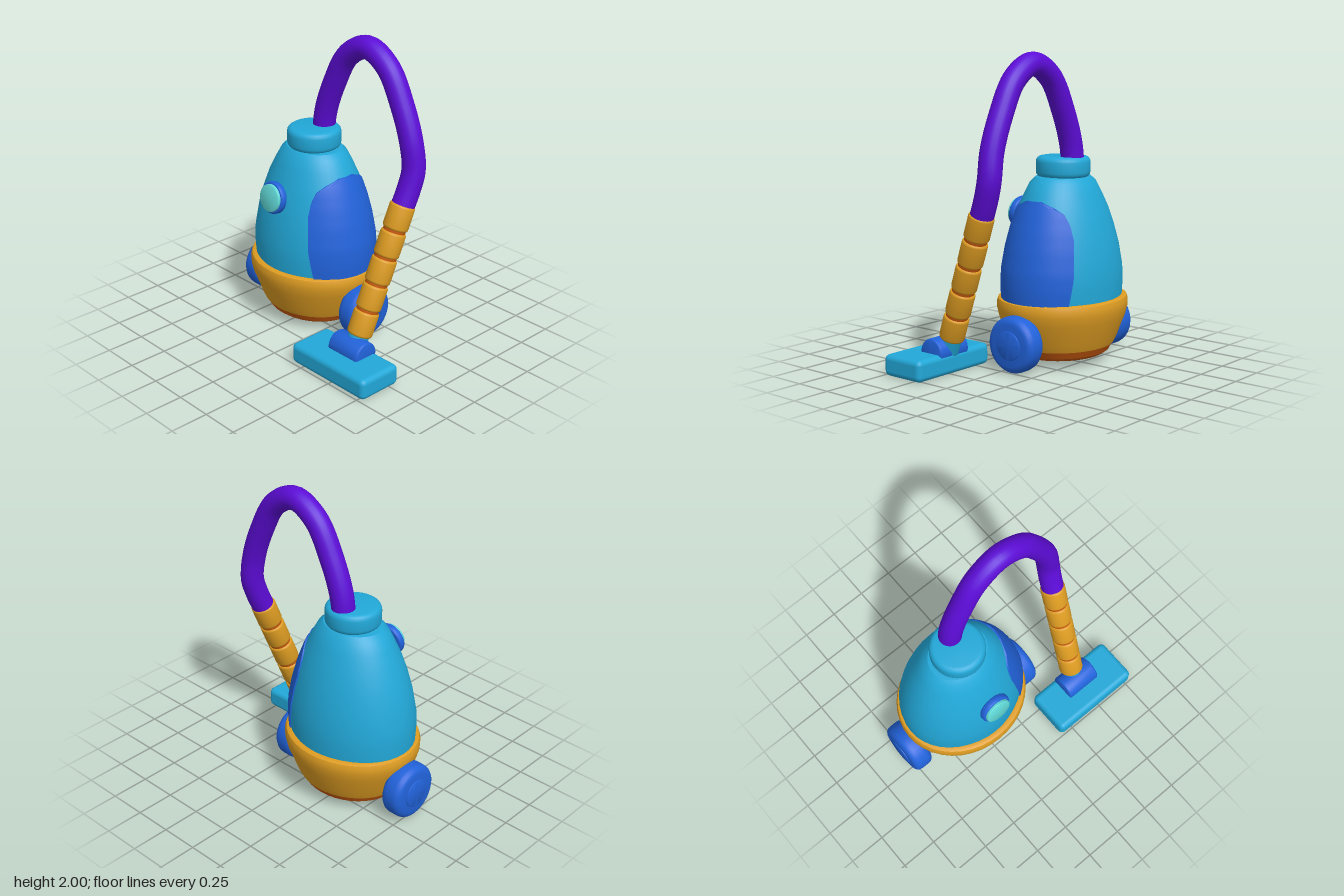
import * as THREE from 'three';
import { toCreasedNormals } from 'three/addons/utils/BufferGeometryUtils.js';
import { RoundedBoxGeometry } from 'three/addons/geometries/RoundedBoxGeometry.js';
import { ParametricGeometry } from 'three/addons/geometries/ParametricGeometry.js';

const V = (x, y, z) => new THREE.Vector3(x, y, z);
const UP = V(0, 1, 0);
const CX = -0.255, CZ = -0.09; // body axis
const BODY_DEPTH = 0.825, BASE_DEPTH = 0.88; // z squash of the oval hulls

function material(name, color) {
  const m = new THREE.MeshStandardMaterial({ color });
  m.name = name;
  return m;
}

// Linear interpolation in a list of [value, y] pairs
function sample(keys, y) {
  for (let i = 1; i < keys.length; i++) {
    const [a, ya] = keys[i - 1], [b, yb] = keys[i];
    if (y <= yb) return a + (b - a) * (y - ya) / (yb - ya);
  }
  return keys[keys.length - 1][0];
}

function lathe(profile, sides = 40, crease = 0.6) {
  const points = profile.map(([r, y]) => new THREE.Vector2(r, y));
  return toCreasedNormals(new THREE.LatheGeometry(points, sides), crease);
}

// Cylinder about y, centred, with rounded rims
function roundedDisc(radius, height, bevel, sides = 36) {
  const profile = [[0, -height / 2]];
  for (const end of [-1, 1]) {
    for (let i = 0; i <= 4; i++) {
      const a = (end < 0 ? i - 4 : i) * Math.PI / 8;
      profile.push([
        radius - bevel + bevel * Math.cos(a),
        end * (height / 2 - bevel) + bevel * Math.sin(a),
      ]);
    }
  }
  profile.push([0, height / 2]);
  return lathe(profile, sides);
}

export function createModel() {
  const model = new THREE.Group();
  model.name = 'vacuumCleaner';

  const cyan = material('cyan', 0x22a8d8);
  const blue = material('blue', 0x2162d9);
  const purple = material('purple', 0x5c0cd6);
  const aqua = material('aqua', 0x60d8d6);
  const amber = material('amber', 0xdd9c22);
  const orange = material('orange', 0xc4570e);
  const panelBlue = blue.clone();
  panelBlue.side = THREE.DoubleSide;

  function add(name, geometry, mat, position, direction) {
    const mesh = new THREE.Mesh(geometry, mat);
    mesh.name = name;
    mesh.position.copy(position);
    if (direction) mesh.quaternion.setFromUnitVectors(UP, direction.clone().normalize());
    model.add(mesh);
    return mesh;
  }

  // Oval domed body
  const bodyProfile = [
    [0.43, 0.4], [0.437, 0.52], [0.432, 0.62], [0.405, 0.76], [0.37, 0.88],
    [0.325, 1.0], [0.275, 1.1], [0.235, 1.17], [0.2, 1.2], [0, 1.22],
  ];
  add('body', lathe(bodyProfile), cyan, V(CX, 0, CZ)).scale.z = BODY_DEPTH;

  // Base bumper and underside
  const baseProfile = [
    [0.34, 0.115], [0.362, 0.12], [0.385, 0.165], [0.41, 0.23], [0.44, 0.3],
    [0.456, 0.36], [0.457, 0.4], [0.448, 0.425], [0.435, 0.432], [0.41, 0.432],
  ];
  add('base', lathe(baseProfile), amber, V(CX, 0, CZ)).scale.z = BASE_DEPTH;
  const undersideProfile = [[0, 0.055], [0.3, 0.055], [0.33, 0.075], [0.358, 0.122], [0, 0.122]];
  add('underside', lathe(undersideProfile, 40, 0.4), orange, V(CX, 0, CZ)).scale.z = BASE_DEPTH;

  // Collar on top
  add('collar', roundedDisc(0.175, 0.135, 0.035), cyan, V(CX, 1.263, CZ));

  // Arched side panel hugging the body, its rim sunk into the hull
  const panelAngles = [[49.5, 0.43], [54, 0.6], [55, 0.84], [52, 0.93], [45, 1.0], [26, 1.05], [14, 1.065]];
  const panel = new ParametricGeometry((u, v, target) => {
    const across = THREE.MathUtils.clamp((u * 18 - 1) / 16, 0, 1) * 2 - 1;
    const y = 0.43 + 0.635 * Math.min(1, v * 18 / 17);
    const rim = u <= 0 || u >= 1 || v >= 1;
    const r = sample(bodyProfile, y) + (rim ? -0.02 : 0.01);
    const a = -across * THREE.MathUtils.degToRad(sample(panelAngles, y));
    target.set(r * Math.cos(a), y, r * Math.sin(a) * BODY_DEPTH);
  }, 18, 18);
  add('sidePanel', toCreasedNormals(panel, 0.6), panelBlue, V(CX, 0, CZ));

  // Wheels with raised hubs
  for (const side of [-1, 1]) {
    const name = side > 0 ? 'left' : 'right';
    const out = V(side, 0, 0);
    add(name + 'Wheel', roundedDisc(0.18, 0.145, 0.045), blue, V(CX + side * 0.467, 0.185, CZ), out);
    add(name + 'Hub', roundedDisc(0.093, 0.02, 0.004), blue, V(CX + side * 0.536, 0.185, CZ), out);
  }

  // Front button, tilted slightly upward
  const facing = V(0, 0.16, 1).normalize();
  const buttonCentre = V(CX, 0.935, 0.262);
  add('buttonRing', roundedDisc(0.105, 0.046, 0.012), blue, buttonCentre, facing);
  add('buttonFace', roundedDisc(0.09, 0.03, 0.008), aqua,
    buttonCentre.clone().addScaledVector(facing, 0.027), facing);

  // Arched flexible hose
  const arch = [[-0.4, 1.25], [-0.375, 1.42], [-0.295, 1.63], [-0.17, 1.84], [0, 1.926],
    [0.17, 1.84], [0.295, 1.63], [0.375, 1.42], [0.4, 1.25]];
  const hosePath = new THREE.CatmullRomCurve3([
    ...arch.map(([x, y]) => V(0.145 + x, y, -0.17)),
    V(0.54, 1.13, -0.138), V(0.53, 1.01, -0.09),
  ]);
  add('hose', new THREE.TubeGeometry(hosePath, 72, 0.074, 20), purple, V(0, 0, 0));

  // Segmented wand around a thinner core
  const wandTop = V(0.532, 1.045, -0.102), wandEnd = V(0.476, 0.22, 0.214);
  const wandAxis = wandTop.clone().sub(wandEnd);
  const pitch = wandAxis.length() / 5;
  for (let i = 0; i < 5; i++) {
    add('wandSegment' + (i + 1), roundedDisc(0.081, pitch - 0.014, 0.016, 28), amber,
      wandTop.clone().lerp(wandEnd, (i + 0.5) / 5), wandAxis);
  }
  add('wandCore', new THREE.CylinderGeometry(0.071, 0.071, pitch * 4.8, 28), orange,
    wandTop.clone().lerp(wandEnd, 0.5), wandAxis);
  add('wandNeck', new THREE.CylinderGeometry(0.066, 0.066, 0.16, 28), cyan,
    wandTop.clone().lerp(wandEnd, 1.06), wandAxis);

  // Floor head with its swivel joint
  add('swivelJoint', roundedDisc(0.088, 0.252, 0.014), blue, V(0.475, 0.145, 0.272), V(1, 0, 0));
  add('floorHead', new RoundedBoxGeometry(0.642, 0.138, 0.31, 4, 0.035), cyan, V(0.475, 0.071, 0.338));

  return model;
}
